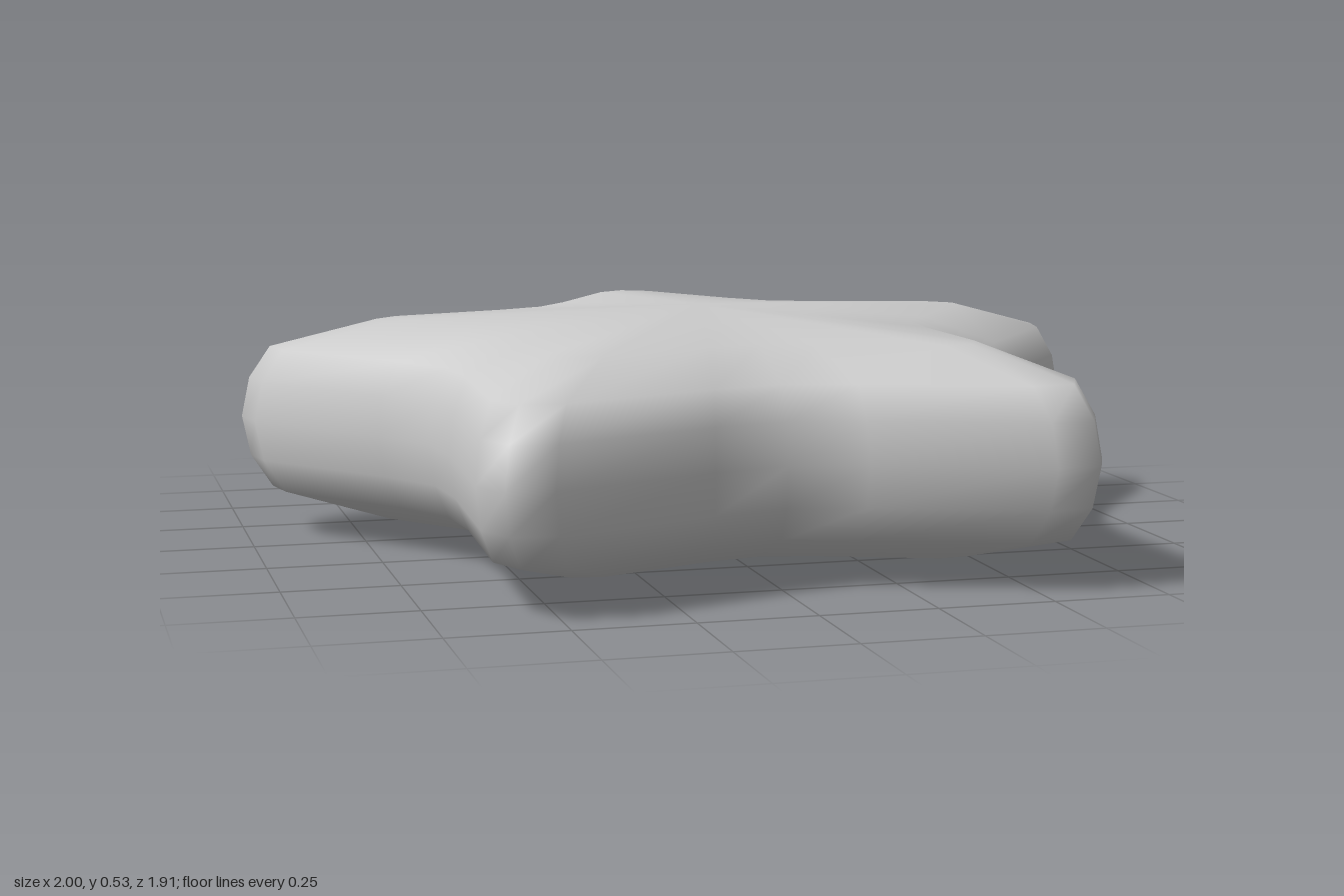
import * as THREE from 'three';

// One arm of the star outline: [angle in degrees, radius], from one valley up to the next
const ARM = [[-36, 0.69], [-23.3, 0.746], [-4.9, 1.005], [0, 1.05], [4.9, 1.005], [23.3, 0.746]];
// Rounded edge section: [outline scale, half height], from the top shoulder to the equator
const EDGE = [[0.35, 0.245], [0.7, 0.226], [0.935, 0.162], [0.982, 0.09], [1, 0]];
const MID_Y = 0.264, CENTRE_Z = 0.1, HALF = 0.264;

function starGeometry() {
  const outline = [];
  for (let arm = 0; arm < 5; arm++) {
    for (const [deg, r] of ARM) {
      const a = THREE.MathUtils.degToRad(deg + arm * 72);
      outline.push([r * Math.sin(a), -r * Math.cos(a)]);
    }
  }
  // Mirror the edge section below the equator
  const rings = [...EDGE, ...EDGE.slice(0, -1).reverse().map(([s, h]) => [s, -h])];
  const n = outline.length;
  const positions = [];
  for (const [s, h] of rings) {
    for (const [x, z] of outline) positions.push(x * s, MID_Y + h, CENTRE_Z + z * s);
  }
  const top = n * rings.length, bottom = top + 1;
  positions.push(0, MID_Y + HALF, CENTRE_Z, 0, MID_Y - HALF, CENTRE_Z);

  const index = [];
  const last = (rings.length - 1) * n;
  for (let j = 0; j < n; j++) {
    const k = (j + 1) % n;
    index.push(top, k, j, bottom, last + j, last + k);
    for (let i = 0; i < rings.length - 1; i++) {
      const a = i * n + j, c = i * n + k, b = a + n, d = c + n;
      index.push(a, c, d, a, d, b);
    }
  }
  const geometry = new THREE.BufferGeometry();
  geometry.setAttribute('position', new THREE.Float32BufferAttribute(positions, 3));
  geometry.setIndex(index);
  geometry.computeVertexNormals();
  return geometry;
}

export function createModel() {
  const group = new THREE.Group();
  group.name = 'puffyStar';
  const star = new THREE.Mesh(starGeometry(), new THREE.MeshStandardMaterial({ color: 0xcccccc }));
  star.name = 'starBody';
  group.add(star);
  return group;
}
